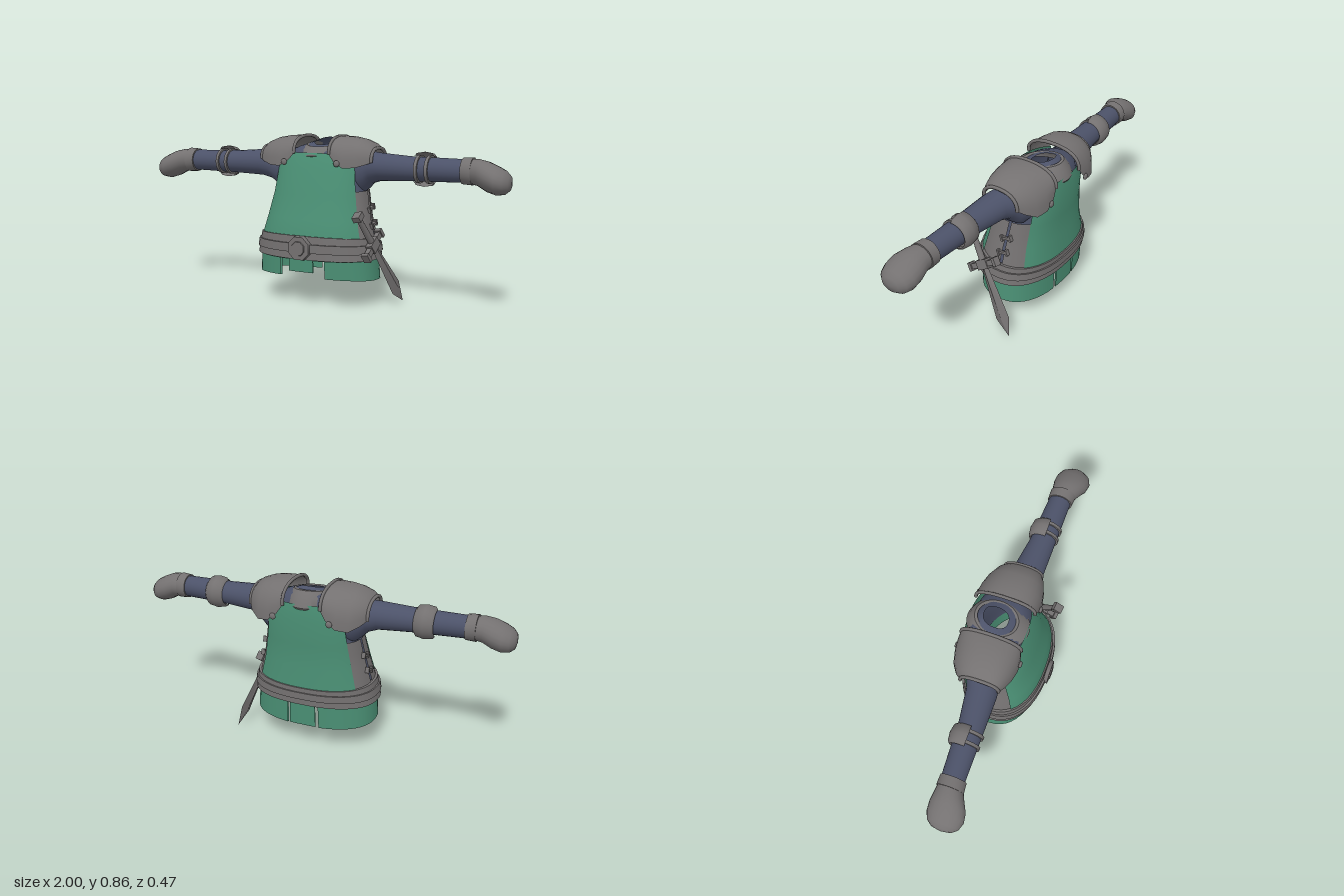
import * as THREE from 'three';
import { toCreasedNormals } from 'three/addons/utils/BufferGeometryUtils.js';

const paint = (name, color) => {
  const m = new THREE.MeshStandardMaterial({ color, side: THREE.DoubleSide });
  m.name = name;
  return m;
};
const green = paint('green cloth', 0x4a8f74);
const steel = paint('grey metal and leather', 0x747171);
const blue = paint('blue cloth', 0x4c5269);
const D = Math.PI / 180;

function add(parent, name, geo, mat, x = 0, y = 0, z = 0) {
  const m = new THREE.Mesh(geo, mat);
  m.name = name;
  m.position.set(x, y, z);
  parent.add(m);
  return m;
}

// Skin a surface over rows of [x, y, z] points
function loft(rows, crease = 40) {
  const n = rows[0].length, idx = [];
  for (let r = 0; r < rows.length - 1; r++) {
    for (let i = 0; i < n - 1; i++) {
      const a = r * n + i, b = a + n;
      idx.push(a, a + 1, b, a + 1, b + 1, b);
    }
  }
  const g = new THREE.BufferGeometry();
  g.setAttribute('position', new THREE.Float32BufferAttribute(rows.flat(2), 3));
  g.setIndex(idx);
  return toCreasedNormals(g, crease * D);
}

const range = (a, b, n) => Array.from({ length: n + 1 }, (_, i) => a + (b - a) * i / n);
const spow = (v, e) => Math.sign(v) * Math.abs(v) ** e;

// Torso outline: height, half width, front z, back z
const BODY = [
  [0.10, 0.328, 0.185, -0.2], [0.25, 0.322, 0.198, -0.207], [0.35, 0.305, 0.195, -0.207],
  [0.45, 0.278, 0.168, -0.197], [0.57, 0.253, 0.133, -0.2], [0.70, 0.235, 0.108, -0.21],
  [0.78, 0.205, 0.078, -0.2], [0.81, 0.14, 0.055, -0.185], [0.835, 0.06, 0.0, -0.14],
];
function bodyPoint(t, y, off = 0) {
  let i = 0;
  while (i < BODY.length - 2 && y > BODY[i + 1][0]) i++;
  const p = BODY[i], q = BODY[i + 1], k = (y - p[0]) / (q[0] - p[0]);
  const [rx, zf, zb] = [1, 2, 3].map(c => p[c] + (q[c] - p[c]) * k);
  const tilt = y > 0.78 ? -0.018 * Math.cos(t) * (y - 0.78) / 0.055 : 0;
  return [(rx + off) * spow(Math.sin(t), 0.85), y + tilt,
    (zf + zb) / 2 + ((zf - zb) / 2 + off) * spow(Math.cos(t), 0.85)];
}
// A patch of the torso between two angles (0 = front, 90 = left side)
function panel(t0, t1, ys, off) {
  const ts = range(t0 * D, t1 * D, Math.max(2, Math.ceil((t1 - t0) / 9)));
  return loft(ys.map(y => ts.map(t => bodyPoint(t, y, off))));
}
// A thick strip round the torso; lo and hi give its edges at each angle
function band(t0, t1, lo, hi, inner, outer) {
  const ts = range(t0 * D, t1 * D, Math.max(3, Math.ceil((t1 - t0) / 8)));
  const edge = (f, off) => ts.map(t => bodyPoint(t, f(t), off));
  return loft([edge(lo, inner), edge(lo, outer), edge(hi, outer), edge(hi, inner), edge(lo, inner)]);
}
// Rounded limb along x; sections are [x, centre y, centre z, radius y, radius z]
function limb(sections, a0 = 0, a1 = 360) {
  const as = range(a0 * D, a1 * D, 20);
  return loft(sections.map(([x, y, z, ry, rz]) =>
    as.map(a => [x, y + ry * Math.sin(a), z + rz * Math.cos(a)])), 50);
}

function buildSide() {
  const g = new THREE.Group();

  // Sleeve, cuff and mitten
  add(g, 'sleeve', limb([[0.19, 0.69, -0.06, 0.115, 0.095], [0.23, 0.69, -0.06, 0.112, 0.093],
    [0.26, 0.698, -0.05, 0.098, 0.088], [0.29, 0.71, -0.035, 0.08, 0.083], [0.34, 0.715, -0.022, 0.07, 0.077],
    [0.5, 0.713, -0.01, 0.061, 0.065], [0.8, 0.714, 0, 0.055, 0.056]]), blue);
  add(g, 'cuff', limb([[0.765, 0.714, 0, 0.054, 0.054], [0.765, 0.714, 0, 0.063, 0.064],
    [0.815, 0.714, 0.002, 0.066, 0.067], [0.815, 0.714, 0.002, 0.05, 0.05]]), steel);
  add(g, 'mitten', limb([[0.8, 0.714, 0.002, 0.058, 0.06], [0.845, 0.71, 0.01, 0.063, 0.073],
    [0.89, 0.693, 0.018, 0.07, 0.088], [0.935, 0.677, 0.022, 0.067, 0.09], [0.97, 0.67, 0.023, 0.056, 0.076],
    [0.992, 0.668, 0.023, 0.036, 0.048], [1, 0.668, 0.023, 0, 0]]), steel);

  // Elbow guard held by two straps
  add(g, 'elbowPlate', limb([[0.52, 0.713, -0.012, 0.064, 0.066], [0.53, 0.713, -0.012, 0.078, 0.076],
    [0.57, 0.713, -0.012, 0.085, 0.082], [0.61, 0.713, -0.012, 0.078, 0.076],
    [0.62, 0.713, -0.012, 0.064, 0.066]], 80, 280), steel);
  for (const x of [0.537, 0.59]) {
    add(g, 'elbowStrap', limb([[x, 0.713, -0.008, 0.058, 0.06], [x, 0.713, -0.008, 0.069, 0.073],
      [x + 0.016, 0.713, -0.008, 0.069, 0.073], [x + 0.016, 0.713, -0.008, 0.058, 0.06]]), steel);
  }

  // Shoulder plate: arches of [x, front z, front y, top y, back z, back y]
  const arches = [[0.1, 0.092, 0.775, 0.862, -0.213, 0.765], [0.13, 0.1, 0.74, 0.864, -0.22, 0.72],
    [0.18, 0.104, 0.71, 0.862, -0.22, 0.68], [0.24, 0.092, 0.713, 0.851, -0.205, 0.672],
    [0.29, 0.072, 0.728, 0.832, -0.172, 0.7], [0.315, 0.055, 0.738, 0.807, -0.14, 0.72]];
  const rows = arches.map(([x, zf, yf, top, zb, yb]) => range(0, 1, 16).map(k => {
    const a = k * Math.PI, base = yf + (yb - yf) * k;
    return [x, base + (top - (yf + yb) / 2) * Math.sin(a) ** 0.8,
      (zf + zb) / 2 + (zf - zb) / 2 * spow(Math.cos(a), 0.85)];
  }));
  add(g, 'shoulderPlate', loft(rows), steel);
  for (const row of [rows[0], rows[rows.length - 1]]) {
    const path = new THREE.CatmullRomCurve3(row.map(p => new THREE.Vector3(...p)));
    add(g, 'shoulderRim', new THREE.TubeGeometry(path, 32, 0.009, 6), steel);
  }
  for (const [y, z] of [[0.732, 0.106], [0.705, -0.222]]) {
    add(g, 'shoulderRivet', new THREE.SphereGeometry(0.017, 12, 8), steel, 0.15, y, z).scale.z = 0.5;
  }

  // Side panels with a laced slit
  const ys = [0.26, 0.35, 0.45, 0.52, 0.59];
  add(g, 'sidePanelFront', panel(58, 92.5, ys, 0.003), steel);
  add(g, 'sidePanelBack', panel(95.5, 130, ys, 0.003), steel);
  for (const y of [0.42, 0.5]) {
    const lace = add(g, 'lace', new THREE.BoxGeometry(0.014, 0.014, 0.058), steel,
      ...bodyPoint(94 * D, y, 0.008));
    lace.rotation.x = 0.3;
    for (const s of [-1, 1]) {
      add(lace, 'laceEnd', new THREE.BoxGeometry(0.02, 0.03, 0.012), steel, 0, 0, s * 0.026);
    }
  }

  // Wide skirt flap round the hip
  add(g, 'sideFlap', band(19, 168, t => 0.142 + 0.018 * Math.cos(t), () => 0.3, -0.006, 0.002), green);
  return g;
}

function buildSword() {
  const g = new THREE.Group();
  const half = (y, w, d) => [[w, y, 0], [0, y, d], [-w, y, 0], [0, y, -d], [w, y, 0]];
  add(g, 'blade', loft([half(-0.01, 0.022, 0.012), half(-0.295, 0.048, 0.014), half(-0.392, 0, 0)], 10), steel);
  add(g, 'guard', new THREE.BoxGeometry(0.18, 0.028, 0.026), steel);
  add(g, 'guardCentre', new THREE.BoxGeometry(0.075, 0.05, 0.036), steel);
  for (const s of [-1, 1]) add(g, 'guardEnd', new THREE.BoxGeometry(0.02, 0.046, 0.038), steel, s * 0.092, 0, 0);
  add(g, 'grip', new THREE.CylinderGeometry(0.014, 0.017, 0.16, 8), steel, 0, 0.095, 0);
  add(g, 'pommel', new THREE.BoxGeometry(0.048, 0.03, 0.042), steel, 0, 0.185, 0);
  const up = new THREE.Vector3(-0.12, 0.48, 0.315).normalize();
  const out = new THREE.Vector3(1, 0, 0).addScaledVector(up, -up.x).normalize();
  const across = new THREE.Vector3().crossVectors(up, out);
  g.quaternion.setFromRotationMatrix(new THREE.Matrix4().makeBasis(across, up, out));
  g.position.set(0.333, 0.33, 0.06);
  return g;
}

export function createModel() {
  const model = new THREE.Group();
  model.name = 'tunicArmour';

  // Undershirt, open at the neck and the hem
  add(model, 'undershirt', panel(0, 360, [0.26, 0.35, 0.45, 0.57, 0.7, 0.78, 0.81, 0.835], -0.01), blue);

  // Tabard front and back
  const ys = [0.25, 0.35, 0.45, 0.57, 0.7, 0.78];
  add(model, 'tabardFront', panel(-62, 62, ys, 0.008), green);
  add(model, 'tabardBack', panel(126, 234, ys, 0.008), green);

  // Collar plate: rings of [half width, front z, back z, y, rise to the back]
  const collar = [[0.135, 0.09, -0.212, 0.755, 0], [0.132, 0.096, -0.218, 0.765, 0],
    [0.115, 0.07, -0.2, 0.802, 0.008], [0.09, 0.04, -0.175, 0.826, 0.016], [0.075, 0.025, -0.16, 0.824, 0.018]];
  add(model, 'collar', loft(collar.map(([rx, zf, zb, y, rise]) => range(0, Math.PI * 2, 32).map(t =>
    [rx * Math.sin(t), y - rise * Math.cos(t), (zf + zb) / 2 + (zf - zb) / 2 * Math.cos(t)]))), steel);

  // Centre skirt flaps
  add(model, 'frontFlap', band(-9, 9, () => 0.188, () => 0.3, -0.002, 0.008), green);
  add(model, 'backFlap', band(170.5, 189.5, () => 0.128, () => 0.3, -0.004, 0.004), green);

  // Belt with a raised strap and buckle
  const edge = (y, k) => t => y + k * Math.cos(t);
  add(model, 'belt', band(0, 360, edge(0.252, 0.002), edge(0.357, 0.015), -0.004, 0.015), steel);
  add(model, 'beltStrap', band(0, 360, edge(0.286, 0.004), edge(0.326, 0.008), 0.01, 0.022), steel);
  const buckle = add(model, 'buckle', new THREE.CylinderGeometry(0.062, 0.066, 0.022, 8), steel, 0, 0.312, 0.218);
  buckle.rotation.set(Math.PI / 2, Math.PI / 8, 0);
  const boss = add(model, 'buckleBoss', new THREE.CylinderGeometry(0.036, 0.04, 0.01, 8), steel, 0, 0.312, 0.23);
  boss.rotation.set(Math.PI / 2, Math.PI / 8, 0);

  // Left and right halves
  const left = buildSide(), right = buildSide();
  left.name = 'leftSide';
  right.name = 'rightSide';
  right.scale.x = -1;
  const sword = buildSword();
  sword.name = 'sword';
  model.add(left, right, sword);
  return model;
}
